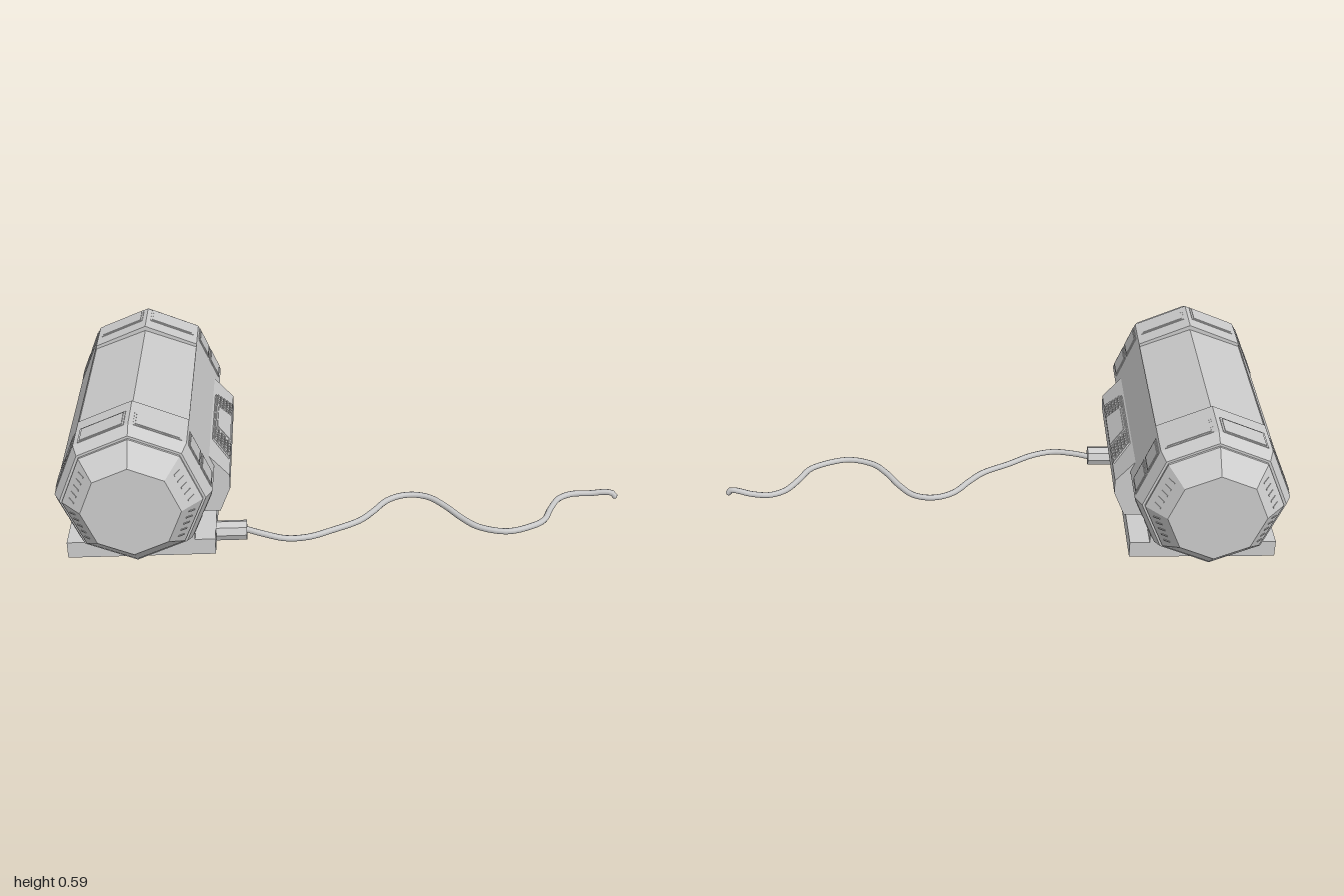
import * as THREE from 'three';

const CX = -0.74, CY = 0.325; // capsule axis
const R = 0.262, APO = R * Math.cos(Math.PI / 8);

const flat = new THREE.MeshStandardMaterial({ color: 0xcccccc, flatShading: true });
const smooth = new THREE.MeshStandardMaterial({ color: 0xcccccc });

function add(parent, name, geometry, x = 0, y = 0, z = 0, material = flat) {
  const m = new THREE.Mesh(geometry, material);
  m.name = name;
  m.position.set(x, y, z);
  parent.add(m);
  return m;
}

// Prism from an outline in x/y, centred along z
function prism(points, depth, centred = true) {
  const shape = new THREE.Shape(points.map(([x, y]) => new THREE.Vector2(x, y)));
  const g = new THREE.ExtrudeGeometry(shape, { depth, bevelEnabled: false });
  if (centred) g.translate(0, 0, -depth / 2);
  return g;
}

const trapezoid = (bottom, top, h) => [[-bottom, -h], [bottom, -h], [top, h], [-top, h]];

// Octagonal end cap with stepped chamfer, inset panels and vent slits
function endCap() {
  const cap = new THREE.Group();
  const profile = [[0, 0.289], [R, 0.289], [R, 0.447], [0.241, 0.491], [0.232, 0.491],
    [0.232, 0.499], [0.165, 0.573], [0, 0.573]].map(([r, z]) => new THREE.Vector2(r, z));
  const shell = new THREE.LatheGeometry(profile, 8);
  shell.rotateX(Math.PI / 2);
  add(cap, 'capShell', shell);

  for (let k = 0; k < 8; k++) {
    const facet = new THREE.Group();
    facet.name = 'capFacet';
    facet.rotation.z = (k + 0.5) * Math.PI / 4;
    cap.add(facet);
    // Steep facets carry two panels, the top and bottom ones a single wide panel
    const steep = [0, 3, 4, 7].includes(k);
    const width = steep ? 0.075 : 0.16;
    for (const t of steep ? [-0.046, 0.046] : [0]) {
      add(facet, 'panelRim', new THREE.BoxGeometry(0.006, width + 0.008, 0.092), APO - 0.001, t, 0.398);
      add(facet, 'panel', new THREE.BoxGeometry(0.006, width - 0.006, 0.078), APO + 0.001, t, 0.398);
    }
    if (steep) {
      for (let i = -2; i <= 2; i++) {
        const slit = add(facet, 'ventSlit', new THREE.BoxGeometry(0.005, 0.005, 0.03), 0.189, i * 0.026, 0.529);
        slit.rotation.y = -0.7;
      }
    }
  }
  return cap;
}

function keypad() {
  const pad = new THREE.Group();
  pad.name = 'keypad';
  const h = 0.042;
  add(pad, 'keypadPlate', prism(trapezoid(0.195, 0.162, h), 0.006, false));
  add(pad, 'screenFrame', prism(trapezoid(0.1, 0.082, h - 0.002), 0.012, false));
  add(pad, 'screen', prism(trapezoid(0.088, 0.072, h - 0.009), 0.014, false));
  // Keys follow the slanted sides
  const key = new THREE.BoxGeometry(0.012, 0.011, 0.007);
  for (const side of [-1, 1]) {
    for (let row = 0; row < 5; row++) {
      const t = (row + 0.5) / 5;
      const inner = THREE.MathUtils.lerp(0.108, 0.09, t);
      const outer = THREE.MathUtils.lerp(0.182, 0.152, t);
      for (let col = 0; col < 5; col++) {
        add(pad, 'key', key, side * THREE.MathUtils.lerp(inner, outer, col / 4), (t - 0.5) * 2 * (h - 0.002), 0.0085);
      }
    }
  }
  // Lay the pad on the sloping face of the control box
  const basis = new THREE.Matrix4().makeBasis(
    new THREE.Vector3(0, 0, -1), new THREE.Vector3(-0.659, 0.753, 0), new THREE.Vector3(0.753, 0.659, 0));
  pad.quaternion.setFromRotationMatrix(basis);
  pad.position.set(-0.46, 0.328, 0);
  return pad;
}

export function createModel() {
  const model = new THREE.Group();
  model.name = 'capsuleDevice';

  // Stand
  add(model, 'basePlate', new THREE.BoxGeometry(0.515, 0.062, 0.69), -0.7425, 0.031, 0);
  add(model, 'pedestal', new THREE.BoxGeometry(0.37, 0.13, 0.69), CX, 0.105, 0);

  // Octagonal body, with the two top facets set lower between the caps
  const q = R * Math.SQRT1_2;
  const section = [[R, 0], [q, q], [q, q - 0.012], [0, 0.245], [-q, q - 0.012],
    [-q, q], [-R, 0], [-q, -q], [0, -R], [q, -q]];
  add(model, 'body', prism(section, 0.58), CX, CY, 0);

  for (const turn of [0, Math.PI]) {
    const cap = endCap();
    cap.name = turn ? 'backCap' : 'frontCap';
    cap.position.set(CX, CY, 0);
    cap.rotation.y = turn;
    model.add(cap);
  }

  // Control box on the left side
  add(model, 'controlBox', prism([[-0.6, 0.144], [-0.464, 0.144], [-0.427, 0.235],
    [-0.427, 0.287], [-0.495, 0.365], [-0.6, 0.365]], 0.58));
  model.add(keypad());

  // Plug and cable
  const plug = add(model, 'plug', new THREE.CylinderGeometry(0.036, 0.036, 0.108, 8), -0.43, 0.038, 0.255);
  plug.rotation.set(0, 0, Math.PI / 2);
  const path = [[-0.39, 0.038, 0.245], [-0.32, 0.034, 0.277], [-0.24, 0.027, 0.3], [-0.16, 0.02, 0.285],
    [-0.07, 0.014, 0.235], [0.03, 0.013, 0.176], [0.083, 0.013, 0.117], [0.136, 0.013, 0.048],
    [0.19, 0.013, 0.016], [0.243, 0.013, 0.011], [0.296, 0.013, 0.032], [0.35, 0.013, 0.096],
    [0.403, 0.013, 0.181], [0.456, 0.013, 0.24], [0.552, 0.013, 0.273], [0.643, 0.013, 0.245],
    [0.696, 0.013, 0.208], [0.733, 0.013, 0.133], [0.776, 0.013, 0.064], [0.83, 0.013, 0.034],
    [0.9, 0.016, 0.037], [0.95, 0.025, 0.045], [0.978, 0.024, 0.052], [0.988, 0.012, 0.053]]
    .map(p => new THREE.Vector3(...p));
  add(model, 'cable', new THREE.TubeGeometry(new THREE.CatmullRomCurve3(path), 120, 0.011, 8), 0, 0, 0, smooth);
  add(model, 'cableTip', new THREE.SphereGeometry(0.011, 8, 6), 0.988, 0.012, 0.053, smooth);

  return model;
}
